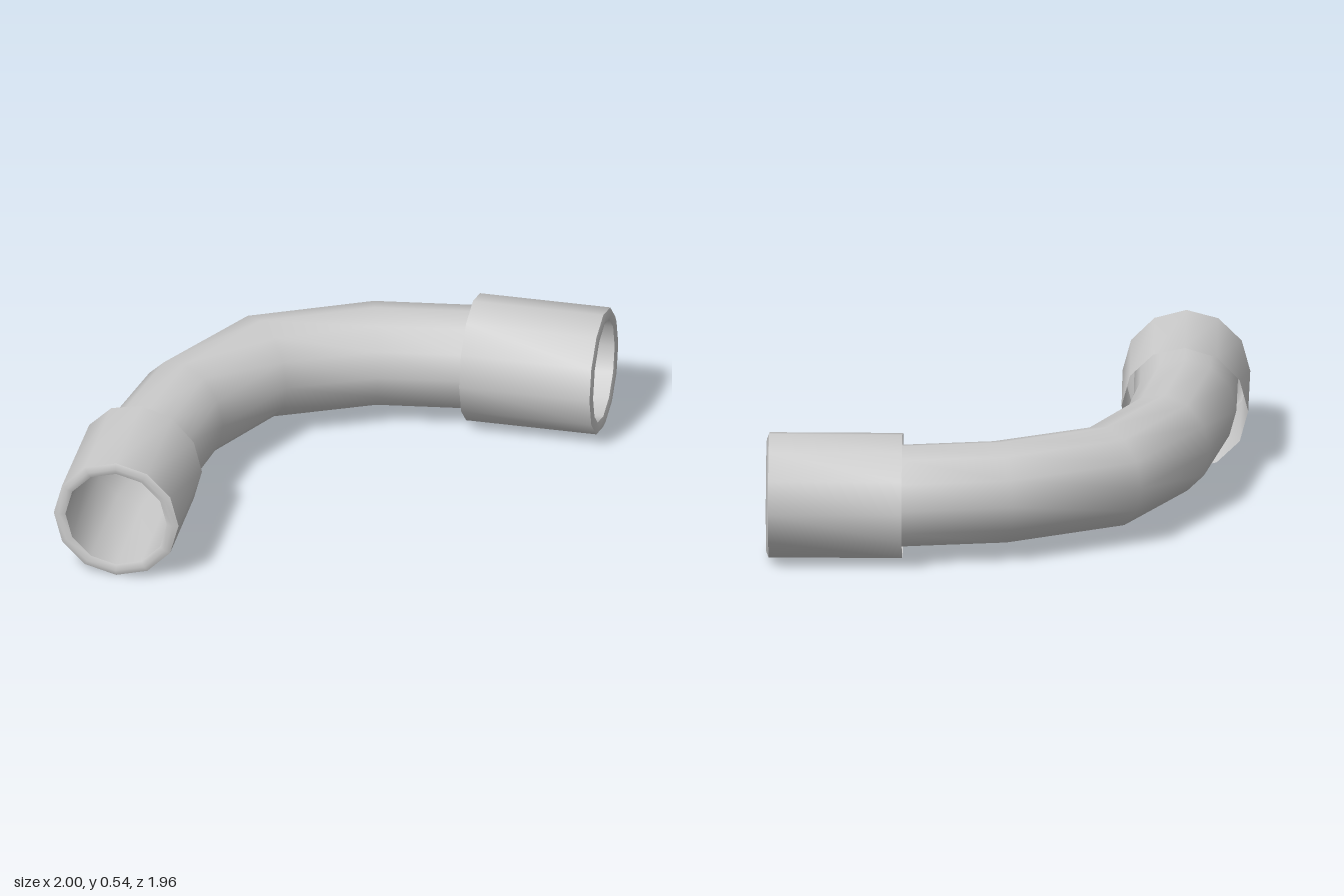
import * as THREE from 'three';

const SIDES = 12;
const PIPE_R = 0.218;
const COLLAR_R = 0.268;
const HEIGHT = 0.269;

// A cross-section: centre (x, z), heading of its sideways axis in degrees, radius
const ring = (x, z, deg, r) => ({ x, z, a = THREE.MathUtils.degToRad(deg), r }) =>
  ({ x, z, a, r });

// Skin a row of polygonal cross-sections with smooth normals
function loft(rings) {
  const positions = [];
  const index = [];
  for (const { x, z, deg, r } of rings) {
    const a = THREE.MathUtils.degToRad(deg);
    for (let j = 0; j < SIDES; j++) {
      const t = (j / SIDES) * Math.PI * 2;
      const side = r * Math.cos(t);
      positions.push(x + side * Math.cos(a), HEIGHT + r * Math.sin(t), z + side * Math.sin(a));
    }
  }
  for (let i = 0; i < rings.length - 1; i++) {
    for (let j = 0; j < SIDES; j++) {
      const k = (j + 1) % SIDES;
      const a = i * SIDES + j, b = i * SIDES + k;
      index.push(a, a + SIDES, b, b, a + SIDES, b + SIDES);
    }
  }
  const geometry = new THREE.BufferGeometry();
  geometry.setAttribute('position', new THREE.Float32BufferAttribute(positions, 3));
  geometry.setIndex(index);
  geometry.computeVertexNormals();
  return geometry;
}

export function createModel() {
  const group = new THREE.Group();
  const material = new THREE.MeshStandardMaterial({ color: 0xcccccc, side: THREE.DoubleSide });
  const add = (name, rings) => {
    const mesh = new THREE.Mesh(loft(rings), material);
    mesh.name = name;
    group.add(mesh);
  };

  // Centre line of the bend, from the front opening to the left opening
  const path = [
    { x: -0.729, z: 0.97, deg: 0 },
    { x: -0.732, z: 0.465, deg: 6.6 },
    { x: -0.656, z: -0.005, deg: 28 },
    { x: -0.422, z: -0.44, deg: 47.5 },
    { x: 0.022, z: -0.655, deg: 74.5 },
    { x: 0.43, z: -0.712, deg: 90 },
    { x: 0.99, z: -0.712, deg: 90 },
  ];
  const at = (i, r, dx = 0, dz = 0) => ({ ...path[i], x: path[i].x + dx, z: path[i].z + dz, r });

  // Open bent pipe running through both sleeves
  add('bentPipe', path.map((p, i) => at(i, PIPE_R)));

  // Wider sleeves, open towards the bend
  add('frontCollar', [at(0, COLLAR_R), at(1, COLLAR_R)]);
  add('leftCollar', [at(5, COLLAR_R), at(6, COLLAR_R)]);

  // Slightly rounded rims joining each sleeve to the pipe mouth
  const mid = (PIPE_R + COLLAR_R) / 2;
  add('frontRim', [at(0, PIPE_R), at(0, mid, 0, 0.01), at(0, COLLAR_R)]);
  add('leftRim', [at(6, COLLAR_R), at(6, mid, 0.01), at(6, PIPE_R)]);

  return group;
}
